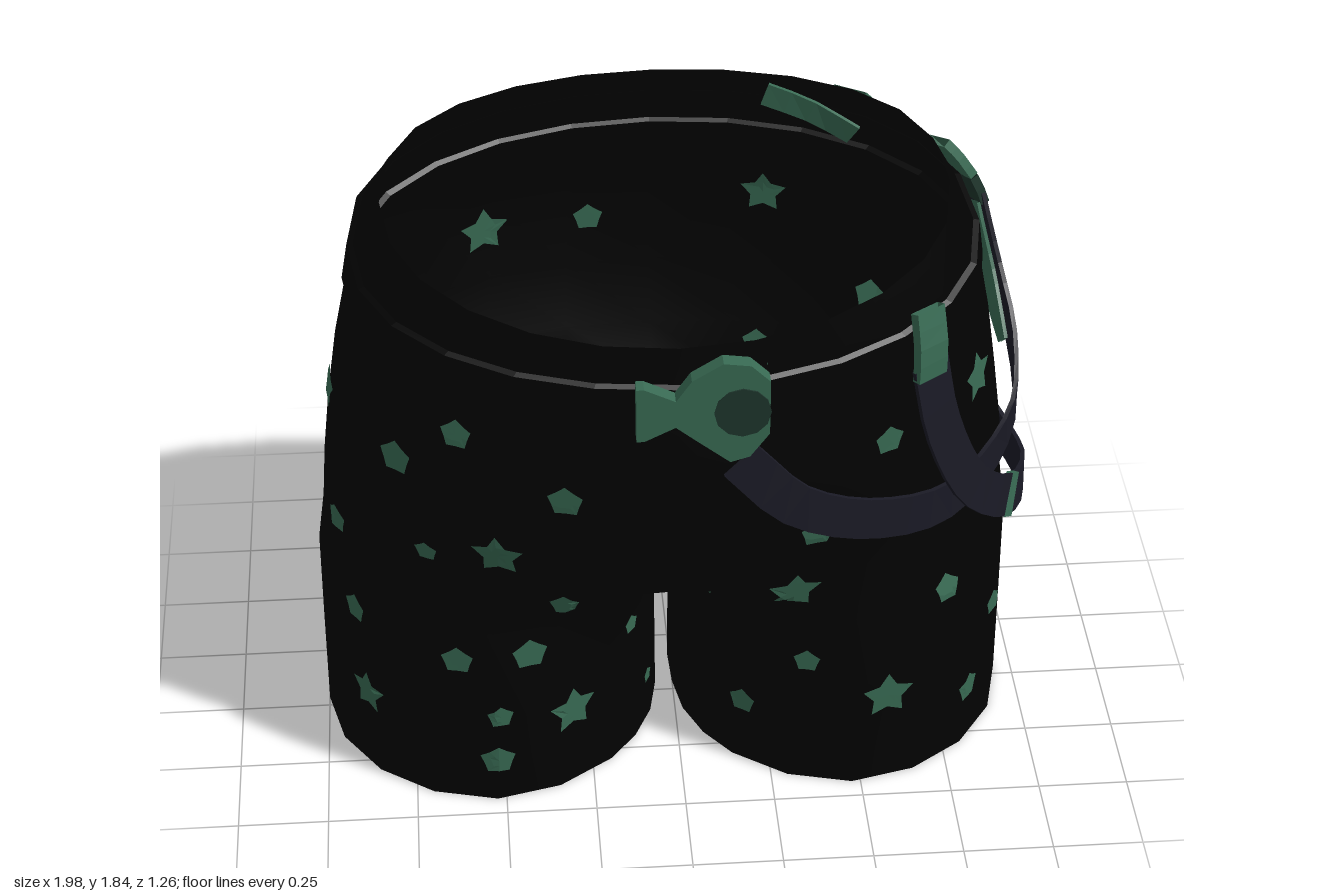
import * as THREE from 'three';
import { mergeGeometries, mergeVertices } from 'three/addons/utils/BufferGeometryUtils.js';

const V = (x, y, z) => new THREE.Vector3(x, y, z);
const CX = -0.025; // the shorts sit slightly to the right of the strap side
const K = 12;      // segments in half a torso ring
const M = 6;       // segments on the inner thigh

const mat = (name, color, side = THREE.FrontSide) => {
  const m = new THREE.MeshStandardMaterial({ color, side });
  m.name = name;
  return m;
};

// Skin a list of point rows (top to bottom); rows are closed loops
function loft(rows, flip = false) {
  const n = rows[0].length, idx = [];
  for (let i = 0; i < rows.length - 1; i++) {
    for (let j = 0; j < n; j++) {
      const a = i * n + j, b = i * n + (j + 1) % n, c = a + n, d = b + n;
      idx.push(...(flip ? [a, b, c, b, d, c] : [a, c, b, b, c, d]));
    }
  }
  const g = new THREE.BufferGeometry().setFromPoints(rows.flat());
  g.setIndex(idx);
  return g;
}

const faceted = (g) => {
  const flat = g.toNonIndexed();
  flat.computeVertexNormals();
  return flat;
};

// Tilted oval ring: height at z = 0, slope over z, half width, front z, back z, lift at the sides
function ringPoint([y, slope, rx, zf, zb, lift = 0], phi) {
  const c = Math.cos(phi), sin = Math.sin(phi);
  const k = c < 0 ? -Math.pow(-c, 0.85) : Math.pow(c, 0.92);
  const z = (zf + zb) / 2 + (zf - zb) / 2 * k;
  return V(CX + rx * sin, y + slope * z + lift * sin * sin, z);
}
const ring = (r) => Array.from({ length: 2 * K }, (_, j) => ringPoint(r, j * Math.PI / K));

// Leg ring, cut in at the outer back and fuller at the inner back
function legRing(s, [y, rx, zf, zb]) {
  return Array.from({ length: K + M }, (_, j) => {
    const deg = j <= K ? -45 + 270 * j / K : 225 + 90 * (j - K) / M;
    const sin = Math.sin(deg * Math.PI / 180), cos = Math.cos(deg * Math.PI / 180);
    const bulge = cos > 0 ? -0.05 : sin > 0 ? -0.16 : 0.19;
    const f = 1 + bulge * Math.abs(sin * cos);
    return V(CX + s * (0.5 + rx * sin * f), y, (zf + zb) / 2 + (zf - zb) / 2 * cos * f);
  });
}
const HEM = [0, 0.475, 0.44, -0.51];

// Torso and both legs as one smooth skin
function bodyGeometry() {
  const hip = [0.76, 0, 0.948, 0.495, -0.525];
  const torso = [
    [1.74, -0.25, 0.745, 0.57, -0.41, 0.04], [1.62, -0.22, 0.82, 0.575, -0.5],
    [1.5, -0.2, 0.845, 0.58, -0.57], [1.3, -0.1, 0.885, 0.592, -0.62],
    [1.1, 0, 0.915, 0.58, -0.625], [0.93, 0, 0.935, 0.55, -0.55], hip,
  ];
  const parts = [loft(torso.map(ring))];
  for (const s of [1, -1]) {
    const top = [];
    for (let j = 0; j <= K; j++) top.push(ringPoint(hip, s * j * Math.PI / K));
    for (let m = 1; m < M; m++) { // crotch saddle
      const c = Math.cos(Math.PI * m / M);
      top.push(V(CX, 0.65 + 0.11 * c * c, -0.015 - 0.51 * c));
    }
    const legs = [[0.6, 0.47, 0.46, -0.517], [0.3, 0.473, 0.45, -0.513], HEM].map((r) => legRing(s, r));
    parts.push(loft([top, ...legs], s < 0));
  }
  const g = mergeVertices(mergeGeometries(parts), 1e-4);
  g.computeVertexNormals();
  return g;
}

// Flat strip that follows a curve and lies along the hips
function ribbon(points, width, thick, steps) {
  const curve = new THREE.CatmullRomCurve3(points.map((p) => V(...p)));
  const rows = [];
  for (let i = 0; i <= steps; i++) {
    const p = curve.getPointAt(i / steps), t = curve.getTangentAt(i / steps);
    const out = V((p.x - CX) / 0.81, 0, p.z / 0.45).normalize();
    const w = t.clone().cross(out).normalize();
    const n = w.clone().cross(t).normalize();
    rows.push([[1, 1], [-1, 1], [-1, -1], [1, -1]].map(([a, b]) =>
      p.clone().addScaledVector(w, a * width / 2).addScaledVector(n, b * thick / 2)));
  }
  return faceted(loft(rows));
}

// Star prints that hug the cloth, on the outside and the inside
function starGeometry(body) {
  const ray = new THREE.Raycaster(), pos = [];
  const hitAt = (o, d) => { ray.set(o, d); return ray.intersectObject(body)[0]; };
  const addStar = (origin, dir, r) => {
    const hit = hitAt(origin, dir);
    if (!hit) return;
    const n = hit.face.normal.clone();
    if (n.dot(dir) > 0) n.negate();
    const u = V(0, 1, 0).cross(n).normalize(), v = n.clone().cross(u), down = n.clone().negate();
    const inner = r > 0.055 ? 0.56 : 0.78;
    const outline = (scale) => Array.from({ length: 10 }, (_, k) => {
      const a = Math.PI / 2 + k * Math.PI / 5, q = scale * (k % 2 ? r * inner : r);
      const p = hit.point.clone().addScaledVector(u, q * Math.cos(a)).addScaledVector(v, q * Math.sin(a));
      const h = hitAt(p.clone().addScaledVector(n, 0.1), down);
      return h && Math.abs(h.distance - 0.1) < 0.06 ? h.point : p;
    });
    const mid = outline(0.5), tip = outline(1);
    for (const off of [0.008, -0.008]) {
      const tri = (...c) => (off > 0 ? c : c.reverse()).forEach((p) =>
        pos.push(...p.clone().addScaledVector(n, off).toArray()));
      for (let k = 0; k < 10; k++) {
        const l = (k + 1) % 10;
        tri(hit.point, mid[k], mid[l]);
        tri(mid[k], tip[k], mid[l]);
        tri(tip[k], tip[l], mid[l]);
      }
    }
  };
  // x, y, radius
  const front = [
    [-0.595, 1.28, 0.045], [-0.755, 1.14, 0.052], [-0.32, 1.12, 0.05], [-0.5, 0.89, 0.075],
    [-0.69, 0.85, 0.035], [-0.93, 0.8, 0.045], [-0.325, 0.7, 0.042], [-0.89, 0.56, 0.045],
    [-0.62, 0.51, 0.047], [-0.425, 0.52, 0.052], [-0.14, 0.44, 0.03], [-0.87, 0.28, 0.068],
    [-0.51, 0.31, 0.038], [-0.31, 0.27, 0.077], [-0.52, 0.15, 0.05], [-0.09, 0.17, 0.025]];
  const frontLeft = [
    [0.53, 1.21, 0.045], [0.345, 0.95, 0.049], [0.295, 0.71, 0.077], [0.08, 0.57, 0.037],
    [0.725, 0.62, 0.045], [0.34, 0.44, 0.039], [0.565, 0.31, 0.077], [0.175, 0.22, 0.042]];
  const back = [
    [0.3, 1.34, 0.068], [-0.2, 1.26, 0.044], [-0.5, 1.27, 0.075], [0.6, 1.05, 0.045],
    [0.28, 0.87, 0.042], [-0.4, 0.7, 0.075], [0.2, 0.57, 0.072], [0.16, 0.33, 0.045],
    [0.28, 0.15, 0.045], [-0.25, 0.42, 0.042], [-0.8, 0.23, 0.075]];
  // z, y, radius
  const leftSide = [
    [0.23, 1.24, 0.073], [-0.25, 1.23, 0.073], [-0.135, 0.98, 0.044], [-0.2, 0.59, 0.073],
    [0.175, 0.42, 0.04], [-0.16, 0.28, 0.044], [-0.36, 0.45, 0.05], [-0.435, 0.2, 0.07], [0.28, 0.2, 0.047]];
  const rightSide = [[-0.31, 0.88, 0.045], [-0.33, 0.56, 0.045], [-0.12, 0.27, 0.045], [0, 1.14, 0.065]];
  for (const [x, y, r] of [...front, ...frontLeft]) addStar(V(x, y, 3), V(0, 0, -1), r);
  for (const [x, y, r] of back) addStar(V(x, y, -3), V(0, 0, 1), r);
  for (const [z, y, r] of leftSide) addStar(V(3, y, z), V(-1, 0, 0), r);
  for (const [z, y, r] of rightSide) addStar(V(-3, y, z), V(1, 0, 0), r);
  const g = new THREE.BufferGeometry();
  g.setAttribute('position', new THREE.Float32BufferAttribute(pos, 3));
  g.computeVertexNormals();
  return g;
}

export function createModel() {
  const group = new THREE.Group();
  const cloth = mat('black cloth', 0x020202, THREE.DoubleSide);
  const green = mat('green', 0x386a53, THREE.DoubleSide);
  const darkGreen = mat('dark green', 0x1e352c, THREE.DoubleSide);
  const strapMat = mat('dark violet strap', 0x1a1a25, THREE.DoubleSide);
  const add = (name, geometry, material) => {
    const mesh = new THREE.Mesh(geometry, material);
    mesh.name = name;
    group.add(mesh);
    return mesh;
  };

  const body = add('shorts', bodyGeometry(), cloth);
  add('starPrint', starGeometry(body), green);

  // Turned-in hems
  for (const s of [1, -1]) {
    add(s > 0 ? 'leftHem' : 'rightHem',
      faceted(loft([legRing(s, [0.08, 0.415, 0.375, -0.45]), legRing(s, HEM)], s > 0)), cloth);
  }

  // Waist belt, a raised tilted band
  add('belt', faceted(loft([
    [1.62, -0.22, 0.815, 0.57, -0.495], [1.61, -0.22, 0.838, 0.586, -0.52],
    [1.485, -0.21, 0.857, 0.593, -0.58], [1.47, -0.21, 0.835, 0.575, -0.565],
  ].map(ring))), cloth);

  // Hanging straps on the left hip
  add('frontStrap', ribbon([
    [0.13, 1.27, 0.61], [0.28, 1.11, 0.6], [0.5, 1.01, 0.54], [0.72, 0.98, 0.42], [0.91, 1.06, 0.17],
    [0.93, 1.19, 0], [0.89, 1.34, -0.13], [0.83, 1.56, -0.19]], 0.12, 0.012, 24), strapMat);
  add('frontStrapLining', ribbon([
    [0.905, 1.19, 0], [0.87, 1.34, -0.125], [0.82, 1.53, -0.185]], 0.11, 0.01, 8), green);
  add('sideStrap', ribbon([
    [0.63, 1.45, 0.46], [0.67, 1.25, 0.455], [0.77, 1, 0.385], [0.9, 0.84, 0.24], [0.975, 0.775, 0.05],
    [0.965, 0.76, -0.1], [0.89, 0.81, -0.29], [0.77, 0.96, -0.45], [0.67, 1.18, -0.55], [0.62, 1.4, -0.57],
    [0.57, 1.6, -0.53], [0.53, 1.69, -0.475]], 0.12, 0.012, 32), strapMat);
  add('strapBand', ribbon([[0.893, 0.85, 0.25], [0.905, 0.84, 0.235], [0.917, 0.83, 0.22]], 0.124, 0.02, 2), green);

  // Belt loops holding the straps
  add('frontLoop', ribbon([[0.63, 1.41, 0.47], [0.63, 1.5, 0.465], [0.62, 1.6, 0.44]], 0.1, 0.025, 4), green);
  add('frontLoopInside', ribbon([[0.52, 1.44, 0.4], [0.52, 1.59, 0.39]], 0.09, 0.01, 2), green);
  add('sideLoop', ribbon([[0.805, 1.62, -0.185], [0.77, 1.67, -0.185], [0.725, 1.72, -0.185]], 0.1, 0.025, 4), green);
  add('sideLoopBase', ribbon([[0.84, 1.54, -0.185], [0.825, 1.58, -0.185], [0.805, 1.62, -0.185]], 0.1, 0.025, 2), darkGreen);
  add('backLoop', ribbon([[0.575, 1.59, -0.525], [0.555, 1.66, -0.495], [0.515, 1.73, -0.44]], 0.1, 0.025, 4), green);
  add('backLoopInside', ribbon([[0.52, 1.65, -0.35], [0.4, 1.72, -0.37], [0.28, 1.76, -0.4]], 0.07, 0.01, 4), green);

  // Buckle: rounded plate with a flared tail, and its backing plate inside the waist
  const outline = [
    [-0.14, 1.36], [-0.12, 1.36], [-0.04, 1.4], [0.02, 1.35], [0.1, 1.285], [0.15, 1.3], [0.2, 1.37],
    [0.2, 1.53], [0.15, 1.58], [0.08, 1.59], [0, 1.54], [-0.04, 1.48], [-0.12, 1.52], [-0.14, 1.52],
  ].map(([x, y]) => new THREE.Vector2(x, y));
  const plate = (depth, z) => new THREE.ExtrudeGeometry(new THREE.Shape(outline),
    { depth, bevelEnabled: false }).translate(0, 0, z);
  const disc = (z) => new THREE.CylinderGeometry(0.073, 0.073, 0.006, 12)
    .rotateX(Math.PI / 2).translate(0.13, 1.44, z);
  add('buckle', plate(0.042, 0.593), green);
  add('buckleCentre', disc(0.636), darkGreen);
  add('buckleBacking', plate(0.008, 0.545), green);
  add('buckleBackingCentre', disc(0.544), darkGreen);

  return group;
}
